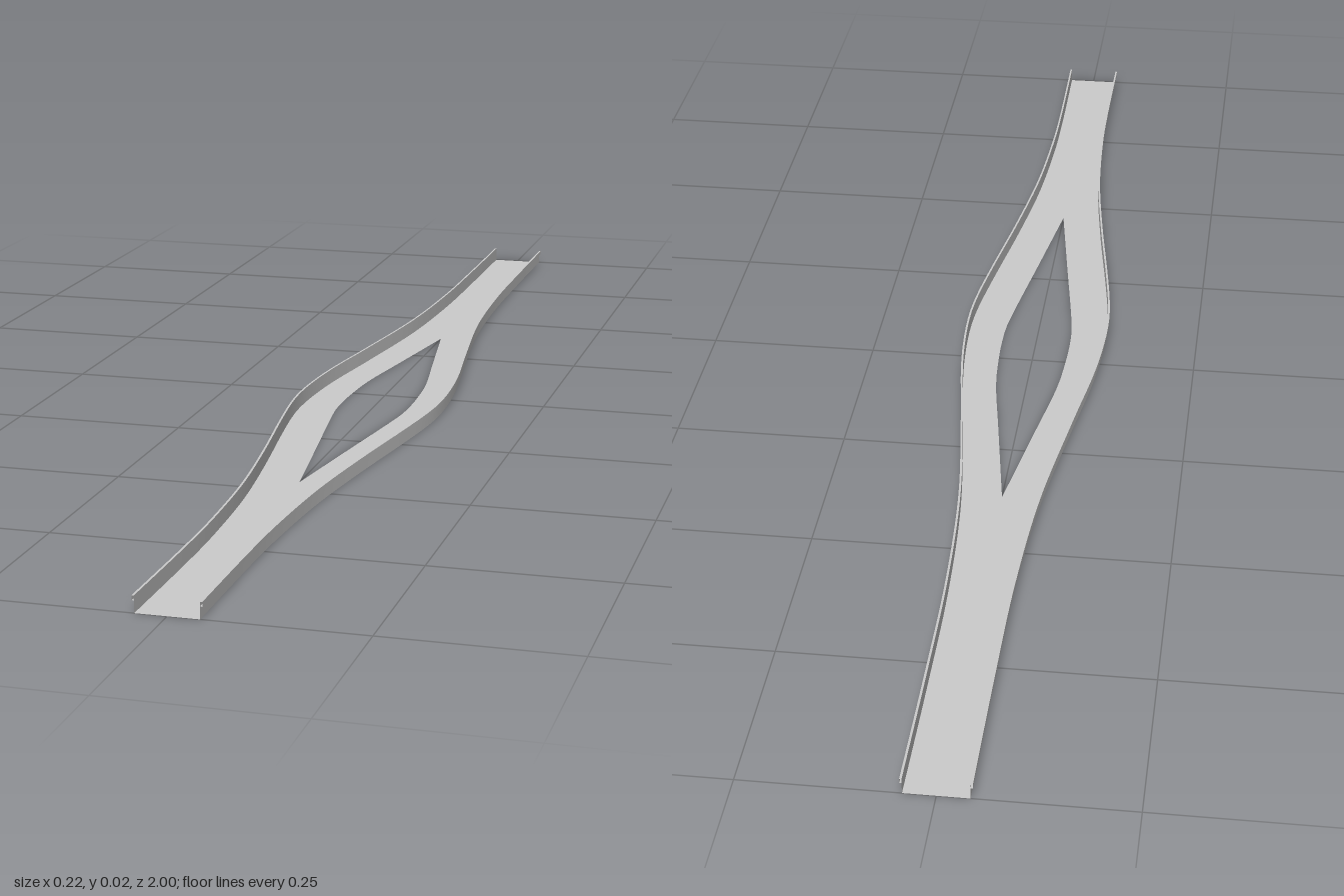
import * as THREE from 'three';

const material = new THREE.MeshStandardMaterial({ color: 0xcccccc, side: THREE.DoubleSide });

// Smooth curve through [z, x] stations, sampled by z
function profile(points) {
  const curve = new THREE.SplineCurve(points.map(([z, x]) => new THREE.Vector2(z, x)));
  const samples = curve.getPoints(400);
  return (z) => {
    let i = 1;
    while (i < samples.length - 1 && samples[i].x < z) i++;
    const a = samples[i - 1], b = samples[i];
    const t = THREE.MathUtils.clamp((z - a.x) / (b.x - a.x), 0, 1);
    return a.y + (b.y - a.y) * t;
  };
}

// Distance of the side wall from the centre line
const wallX = profile([
  [-1, 0.042], [-0.8, 0.042], [-0.6, 0.044], [-0.4, 0.055], [-0.2, 0.08], [-0.08, 0.097], [0, 0.105],
  [0.08, 0.108], [0.15, 0.104], [0.25, 0.091], [0.4, 0.069], [0.55, 0.051], [0.7, 0.042],
  [0.82, 0.04], [1, 0.041],
]);

// Half width of the central opening
const holeCurve = profile([
  [-0.37, 0], [-0.2, 0.027], [-0.08, 0.046], [0, 0.052], [0.06, 0.053], [0.12, 0.049], [0.3, 0.023], [0.46, 0],
]);
const holeX = (z) => (z <= -0.37 || z >= 0.46 ? 0 : Math.max(0, holeCurve(z)));

// Stations along the channel, including the tips of the opening
const stations = [-0.37, 0.46];
for (let i = 0; i <= 80; i++) stations.push(-1 + i / 40);
stations.sort((a, b) => a - b);

// Sweep an open cross-section, given as a function of z, along the channel
function sweep(name, section, side) {
  const positions = [], index = [];
  const n = section(0).length;
  stations.forEach((z, s) => {
    section(z).forEach(([x, y], k) => {
      positions.push(side * x, y, z);
      if (s === 0 || k === 0) return;
      const d = s * n + k, c = d - 1, b = d - n, a = b - 1;
      if (side > 0) index.push(a, c, b, b, c, d);
      else index.push(a, b, c, b, d, c);
    });
  });
  const geometry = new THREE.BufferGeometry();
  geometry.setAttribute('position', new THREE.Float32BufferAttribute(positions, 3));
  geometry.setIndex(index);
  geometry.computeVertexNormals();
  const mesh = new THREE.Mesh(geometry, material);
  mesh.name = name;
  return mesh;
}

export function createModel() {
  const group = new THREE.Group();
  group.name = 'splitChannel';
  const height = 0.022, lipBottom = 0.016, lip = 0.003;

  for (const [label, side] of [['left', 1], ['right', -1]]) {
    const half = new THREE.Group();
    half.name = label + 'Half';
    // Flat floor from the centre line or opening out to the wall
    half.add(sweep(label + 'Floor', (z) => [[holeX(z), 0], [wallX(z), 0]], side));
    // Upright side wall
    half.add(sweep(label + 'Wall', (z) => [[wallX(z), 0], [wallX(z), height]], side));
    // Narrow rim folded outwards and down along the top of the wall
    half.add(sweep(label + 'RimTop', (z) => [[wallX(z) + lip, height], [wallX(z), height]].reverse(), side));
    half.add(sweep(label + 'RimFace', (z) => [[wallX(z) + lip, lipBottom], [wallX(z) + lip, height]], side));
    half.add(sweep(label + 'RimUnderside', (z) => [[wallX(z), lipBottom], [wallX(z) + lip, lipBottom]], side));
    group.add(half);
  }
  return group;
}
